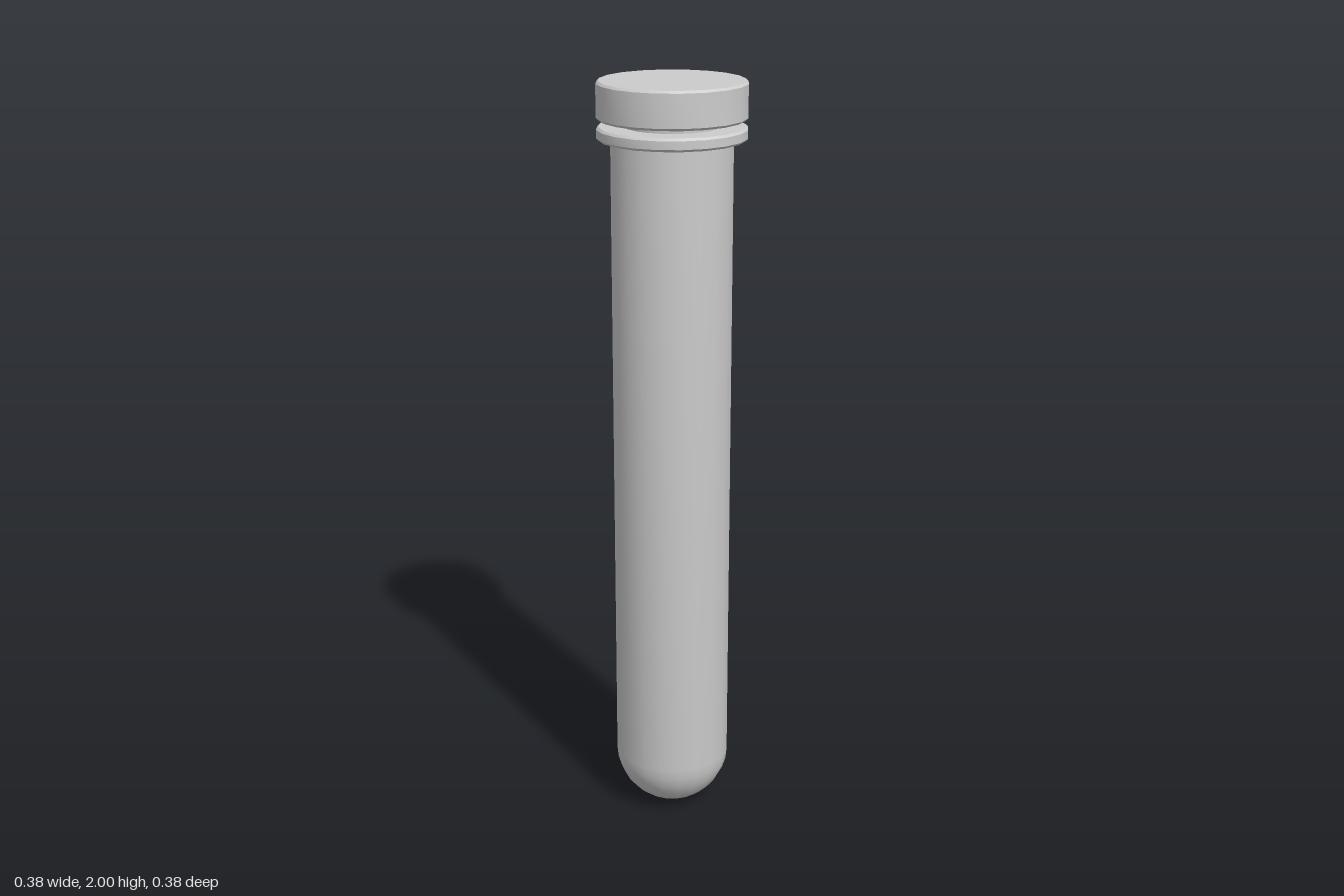
import * as THREE from 'three';
import { toCreasedNormals } from 'three/addons/utils/BufferGeometryUtils.js';

const SIDES = 20;

// Turned solid from [radius, height] pairs, running up the outside
function turned(name, profile, material) {
  const points = profile.map(([r, y]) => new THREE.Vector2(r, y));
  const mesh = new THREE.Mesh(toCreasedNormals(new THREE.LatheGeometry(points, SIDES), 0.65), material);
  mesh.name = name;
  return mesh;
}

// Points of a quarter circle from the bottom pole to the side
function bowl(radius, centreY, steps) {
  return Array.from({ length: steps + 1 }, (_, i) => {
    const a = (i / steps) * Math.PI / 2;
    return [radius * Math.sin(a), centreY - radius * Math.cos(a)];
  });
}

export function createModel() {
  const group = new THREE.Group();
  group.name = 'testTube';
  const grey = new THREE.MeshStandardMaterial({ color: 0xcccccc });
  grey.name = 'light grey';

  const R = 0.155, INNER = 0.122, RIM = 0.19, BEVEL = 0.006;

  // Round-bottomed tube with a flanged lip and a hollow inside
  group.add(turned('tube', [
    ...bowl(R, R, 8),
    [R, 1.855],
    [RIM - BEVEL, 1.855],
    [RIM, 1.855 + BEVEL],
    [RIM, 1.888 - BEVEL],
    [RIM - BEVEL, 1.888],
    [INNER, 1.888],
    ...bowl(INNER, R, 8).reverse(),
  ], grey));

  // Stopper: a plug in the mouth below a wide bevelled cap
  group.add(turned('stopper', [
    [0, 1.78],
    [INNER - 0.004, 1.78],
    [INNER, 1.89],
    [INNER, 1.905],
    [RIM - BEVEL, 1.905],
    [RIM, 1.905 + BEVEL],
    [RIM, 2 - BEVEL],
    [RIM - BEVEL, 2],
    [0, 2],
  ], grey));

  return group;
}
